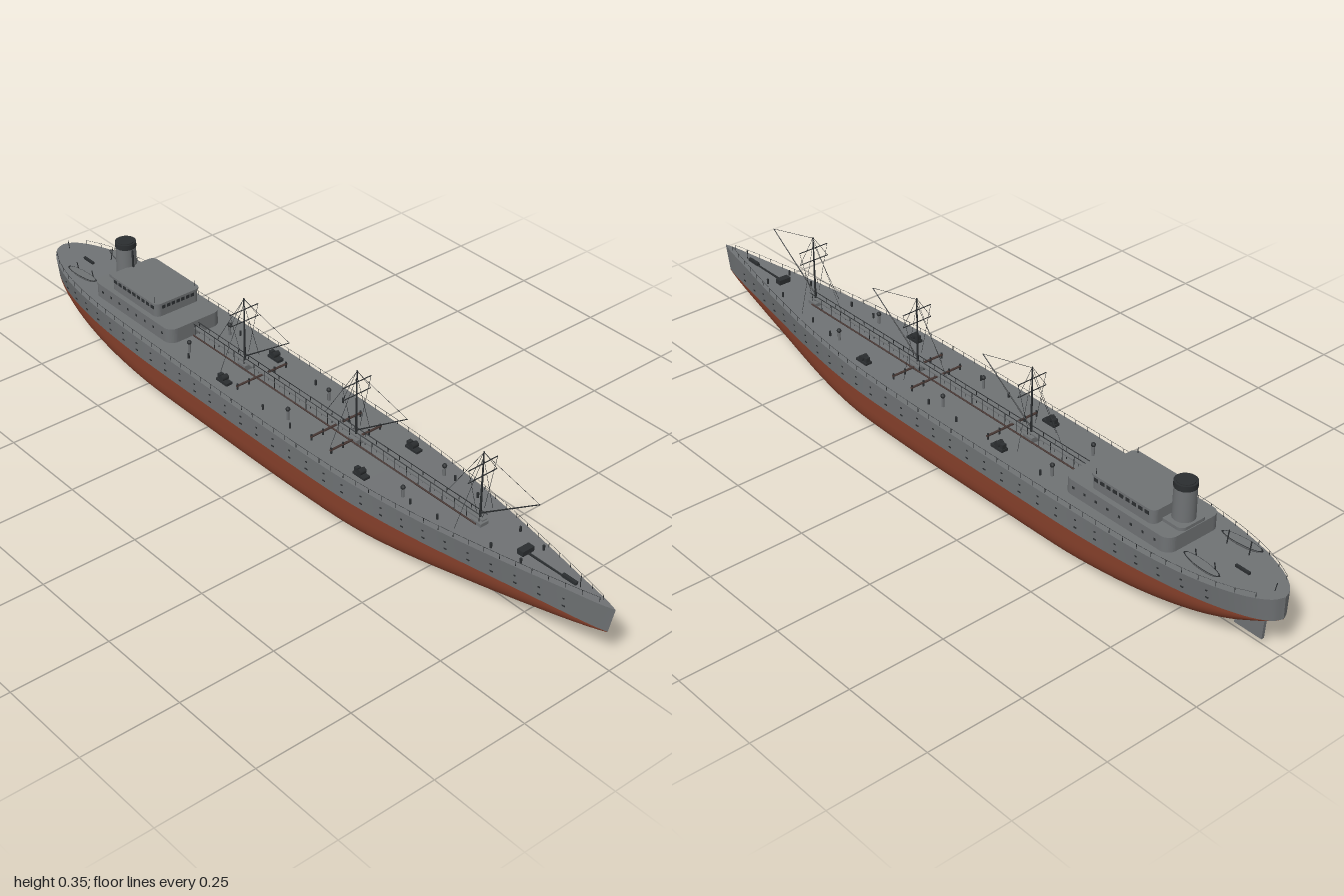
import * as THREE from 'three';

const mat = (name, color, side = THREE.FrontSide) => {
  const m = new THREE.MeshStandardMaterial({ color, side });
  m.name = name;
  return m;
};

export function createModel() {
  const ship = new THREE.Group();
  ship.name = 'cargoShip';
  const grey = mat('hullGrey', 0x6f7274);
  const red = mat('hullRed', 0x86402b);
  const dark = mat('fittingDark', 0x2b2e30);
  const brown = mat('pipeBrown', 0x4a3a36);

  const add = (name, geo, m, x = 0, y = 0, z = 0, parent = ship) => {
    const mesh = new THREE.Mesh(geo, m);
    mesh.name = name;
    mesh.position.set(x, y, z);
    parent.add(mesh);
    return mesh;
  };
  const box = (name, m, x, y, z, w, h, d, parent) => add(name, new THREE.BoxGeometry(w, h, d), m, x, y, z, parent);
  const rod = (name, m, a, b, r0, r1 = r0, parent = ship) => {
    const p = new THREE.Vector3(...a), q = new THREE.Vector3(...b), d = q.clone().sub(p);
    const mesh = add(name, new THREE.CylinderGeometry(r1, r0, d.length(), 6), m, 0, 0, 0, parent);
    mesh.position.copy(p).add(q).multiplyScalar(0.5);
    mesh.quaternion.setFromUnitVectors(new THREE.Vector3(0, 1, 0), d.normalize());
    return mesh;
  };

  // Hull stations: x, half beam at deck, keel height
  const WL = 0.096;
  const stations = new THREE.CatmullRomCurve3([
    [-1, 0, 0.096], [-0.99, 0.024, 0.093], [-0.96, 0.05, 0.08], [-0.9, 0.078, 0.052], [-0.82, 0.1, 0.028],
    [-0.7, 0.116, 0.011], [-0.5, 0.123, 0.003], [-0.2, 0.125, 0], [0.1, 0.125, 0], [0.3, 0.119, 0.003],
    [0.5, 0.099, 0.012], [0.7, 0.065, 0.032], [0.85, 0.034, 0.06], [0.95, 0.011, 0.085], [0.985, 0, 0.095],
  ].map(p => new THREE.Vector3(...p))).getPoints(112);
  const deckY = x => 0.15 + 0.015 * x * x * (x > 0 ? 1 : 0.2);
  const halfBeam = x => {
    const i = Math.max(1, stations.findIndex(s => s.x >= x));
    const a = stations[i - 1], b = stations[i];
    return a.y + (b.y - a.y) * (x - a.x) / (b.x - a.x);
  };
  const fullness = x => THREE.MathUtils.smoothstep(Math.abs(x + 0.08), 0.35, 0.95);
  const waterBeam = s => s.y * (1 - 0.14 * fullness(s.x));
  const rake = x => 0.015 * THREE.MathUtils.smoothstep(x, 0.85, 0.985);

  // Surface lofted through all stations; section(s, v) gives one point
  const loft = (name, m, rows, section) => {
    const pos = [], idx = [];
    stations.forEach((s, i) => {
      for (let j = 0; j <= rows; j++) pos.push(...section(s, j / rows));
      if (!i) return;
      for (let j = 0; j < rows; j++) {
        const c = i * (rows + 1) + j, a = c - rows - 1;
        idx.push(a, a + 1, c, a + 1, c + 1, c);
      }
    });
    const g = new THREE.BufferGeometry();
    g.setAttribute('position', new THREE.Float32BufferAttribute(pos, 3));
    g.setIndex(idx);
    g.computeVertexNormals();
    add(name, g, m);
  };
  loft('lowerHull', red, 32, (s, v) => {
    const e = 0.45 + 0.5 * fullness(s.x), c = Math.cos(v * Math.PI), n = Math.sin(v * Math.PI);
    return [s.x, WL - (WL - s.z) * Math.pow(Math.max(n, 0), e), waterBeam(s) * Math.sign(c) * Math.pow(Math.abs(c), e)];
  });
  for (const side of [1, -1]) {
    loft(side > 0 ? 'rightTopside' : 'leftTopside', grey, 4, (s, v) => {
      const t = side > 0 ? 1 - v : v;
      return [s.x + rake(s.x) * t, WL + (deckY(s.x) - WL) * t, side * THREE.MathUtils.lerp(waterBeam(s), s.y, t)];
    });
  }
  loft('deck', grey, 2, (s, v) => [s.x + rake(s.x), deckY(s.x), s.y * (2 * v - 1)]);

  // Rudder
  const rudder = new THREE.Shape([[-0.95, 0.014], [-0.872, 0.014], [-0.872, 0.06], [-0.93, 0.085], [-0.955, 0.085]]
    .map(p => new THREE.Vector2(...p)));
  add('rudder', new THREE.ExtrudeGeometry(rudder, { depth: 0.008, bevelEnabled: false }), grey, 0, 0, -0.004);

  // Deckhouses with rounded corners
  const house = (name, m, x0, x1, hz, y0, y1, r) => {
    const s = new THREE.Shape();
    s.moveTo(x0 + r, -hz);
    s.lineTo(x1 - r, -hz).absarc(x1 - r, -hz + r, r, -Math.PI / 2, 0);
    s.lineTo(x1, hz - r).absarc(x1 - r, hz - r, r, 0, Math.PI / 2);
    s.lineTo(x0 + r, hz).absarc(x0 + r, hz - r, r, Math.PI / 2, Math.PI);
    s.lineTo(x0, -hz + r).absarc(x0 + r, -hz + r, r, Math.PI, Math.PI * 1.5);
    const g = new THREE.ExtrudeGeometry(s, { depth: y1 - y0, bevelEnabled: false, curveSegments: 5 });
    add(name, g.rotateX(-Math.PI / 2), m, 0, y0, 0);
  };
  house('lowerDeckhouse', grey, -0.74, -0.415, 0.081, 0.148, 0.19, 0.025);
  house('bridge', grey, -0.68, -0.487, 0.067, 0.19, 0.224, 0.015);
  house('bridgeRoof', grey, -0.683, -0.484, 0.07, 0.224, 0.228, 0.016);
  house('funnelBase', grey, -0.738, -0.67, 0.04, 0.19, 0.198, 0.015);
  for (const z of [1, -1]) {
    for (let i = 0; i < 9; i++) box('bridgeSideWindow', dark, -0.66 + i * 0.0195, 0.215, z * 0.067, 0.012, 0.009, 0.002);
    for (let i = 0; i < 8; i++) box('deckhouseWindow', dark, -0.7 + i * 0.036, 0.172, z * 0.081, 0.006, 0.006, 0.002);
  }
  for (let i = -3; i <= 3; i++) box('bridgeFrontWindow', dark, -0.487, 0.215, i * 0.0148, 0.002, 0.009, 0.01);

  // Funnel
  add('funnel', new THREE.CylinderGeometry(0.026, 0.027, 0.09, 24), grey, -0.705, 0.235, 0);
  add('funnelBand', new THREE.CylinderGeometry(0.0272, 0.0272, 0.014, 24), dark, -0.705, 0.284, 0);
  add('funnelCap', new THREE.CylinderGeometry(0.022, 0.022, 0.004, 24), dark, -0.705, 0.291, 0);
  rod('funnelPipe', dark, [-0.676, 0.19, 0], [-0.676, 0.275, 0], 0.003);

  // Masts, booms, crosstrees and rigging
  for (const x of [-0.22, 0.19, 0.6]) {
    const g = new THREE.Group();
    g.name = 'mastAndDerrick';
    ship.add(g);
    rod('mast', dark, [x, 0.148, 0], [x, 0.346, 0], 0.0032, 0.0016, g);
    rod('boom', dark, [x, 0.182, 0], [x + 0.17, 0.302, 0], 0.0018, 0.0012, g);
    rod('toppingWire', dark, [x, 0.343, 0], [x + 0.17, 0.302, 0], 0.0005, 0.0005, g);
    rod('backstay', dark, [x, 0.343, 0], [x - 0.11, 0.175, 0], 0.0005, 0.0005, g);
    for (const y of [0.281, 0.314]) rod('crosstree', dark, [x, y, -0.043], [x, y, 0.043], 0.0013, 0.0013, g);
    for (const z of [1, -1]) {
      rod('upperStay', dark, [x, 0.345, 0], [x, 0.281, z * 0.043], 0.0005, 0.0005, g);
      rod('lowerStay', dark, [x, 0.314, z * 0.043], [x, 0.19, z * 0.012], 0.0005, 0.0005, g);
      rod('shroud', dark, [x, 0.33, 0], [x - 0.02, 0.152, z * 0.06], 0.0005, 0.0005, g);
    }
    box('mastHouse', grey, x, 0.156, 0, 0.03, 0.016, 0.024, g);
  }

  // Raised catwalk and deck pipes
  box('catwalk', grey, 0.1, 0.171, 0, 1.03, 0.003, 0.014);
  for (const z of [-0.007, 0.007]) {
    rod('catwalkRail', dark, [-0.415, 0.183, z], [0.615, 0.183, z], 0.001);
    for (let i = 0; i < 27; i++) rod('catwalkPost', dark, [-0.41 + i * 0.039, 0.15, z], [-0.41 + i * 0.039, 0.183, z], 0.0008);
  }
  for (const z of [-0.013, 0.013]) rod('deckPipe', brown, [-0.41, 0.155, z], [0.6, 0.158, z], 0.0022);
  for (const x of [-0.155, 0.12, 0.19]) {
    rod('crossPipe', brown, [x, 0.16, -0.078], [x, 0.16, 0.078], 0.003);
    for (const z of [-0.075, -0.04, 0.04, 0.075]) rod('pipeStand', dark, [x, 0.15, z], [x, 0.166, z], 0.0025);
  }

  for (const z of [1, -1]) {
    // Winches
    for (const x of [-0.2, 0.3]) {
      box('winchBase', dark, x, 0.154, z * 0.08, 0.04, 0.007, 0.018);
      rod('winchDrum', dark, [x, 0.164, z * 0.08 - 0.009], [x, 0.164, z * 0.08 + 0.009], 0.008);
      box('winchMotor', dark, x - 0.013, 0.162, z * 0.08, 0.01, 0.014, 0.012);
    }
    // Lifeboats on davits
    const boat = new THREE.Group();
    boat.name = 'lifeboat';
    boat.position.set(-0.82, 0.166, z * 0.062);
    boat.rotation.y = z * 0.08;
    ship.add(boat);
    add('boatHull', new THREE.SphereGeometry(1, 20, 8, 0, Math.PI * 2, Math.PI / 2, Math.PI / 2), grey, 0, 0, 0, boat).scale.set(0.053, 0.012, 0.012);
    add('boatRim', new THREE.TorusGeometry(1, 0.06, 4, 24).rotateX(Math.PI / 2), dark, 0, 0, 0, boat).scale.set(0.053, 0.015, 0.012);
    add('boatCover', new THREE.CylinderGeometry(1, 1, 1, 24), grey, 0, 0, 0, boat).scale.set(0.051, 0.001, 0.0115);
    for (const x of [-0.03, 0.03]) rod('davit', dark, [x, -0.015, -z * 0.014], [x, 0.018, -z * 0.008], 0.0015, 0.0015, boat);

    // Deck edge railing and hull portholes
    let last = null;
    for (let x = -0.96; x < 0.99; x += 0.04) {
      const y = deckY(x), zz = z * Math.max(halfBeam(Math.min(x, 0.98)) - 0.003, 0.001);
      const top = [x, y + 0.012, zz];
      rod('railPost', dark, [x, y, zz], top, 0.0007);
      if (last) rod('railWire', dark, last, top, 0.0004);
      last = top;
    }
    for (let x = -0.86; x < 0.92; x += 0.06) {
      const b = halfBeam(x), w = b * (1 - 0.14 * fullness(x));
      for (const [y, len] of [[0.133, 0.005], [0.113, 0.008]]) {
        const t = (y - WL) / (deckY(x) - WL);
        box('hullPort', dark, x, y, z * THREE.MathUtils.lerp(w, b, t), len, 0.003, 0.003);
      }
    }
    // Foredeck bollards, ventilators and bridge-wing poles
    for (const x of [-0.34, -0.05, 0.05, 0.45, 0.53, 0.68, 0.76]) {
      rod('bollard', dark, [x, 0.15, z * halfBeam(x) * 0.65], [x, deckY(x) + 0.013, z * halfBeam(x) * 0.65], 0.003);
    }
    for (const x of [-0.36, 0.02, 0.42]) {
      rod('ventilator', grey, [x, 0.15, z * 0.063], [x, 0.178, z * 0.063], 0.004);
      add('ventilatorCowl', new THREE.SphereGeometry(0.006, 8, 6), dark, x, 0.179, z * 0.063);
    }
    rod('bridgePole', dark, [-0.5, 0.226, z * 0.063], [-0.5, 0.243, z * 0.063], 0.0008);
  }

  // Bow and stern gear
  box('windlass', dark, 0.74, 0.164, 0, 0.018, 0.014, 0.034);
  box('anchorChain', dark, 0.8, 0.161, 0, 0.1, 0.004, 0.004);
  box('bowChock', dark, 0.87, 0.165, 0, 0.04, 0.008, 0.008);
  box('sternChock', dark, -0.88, 0.156, 0, 0.04, 0.006, 0.006);
  rod('bowStaff', dark, [0.9, 0.162, 0], [0.9, 0.186, 0], 0.001);
  rod('sternStaff', dark, [-0.97, 0.152, 0], [-0.975, 0.175, 0], 0.001);
  return ship;
}
